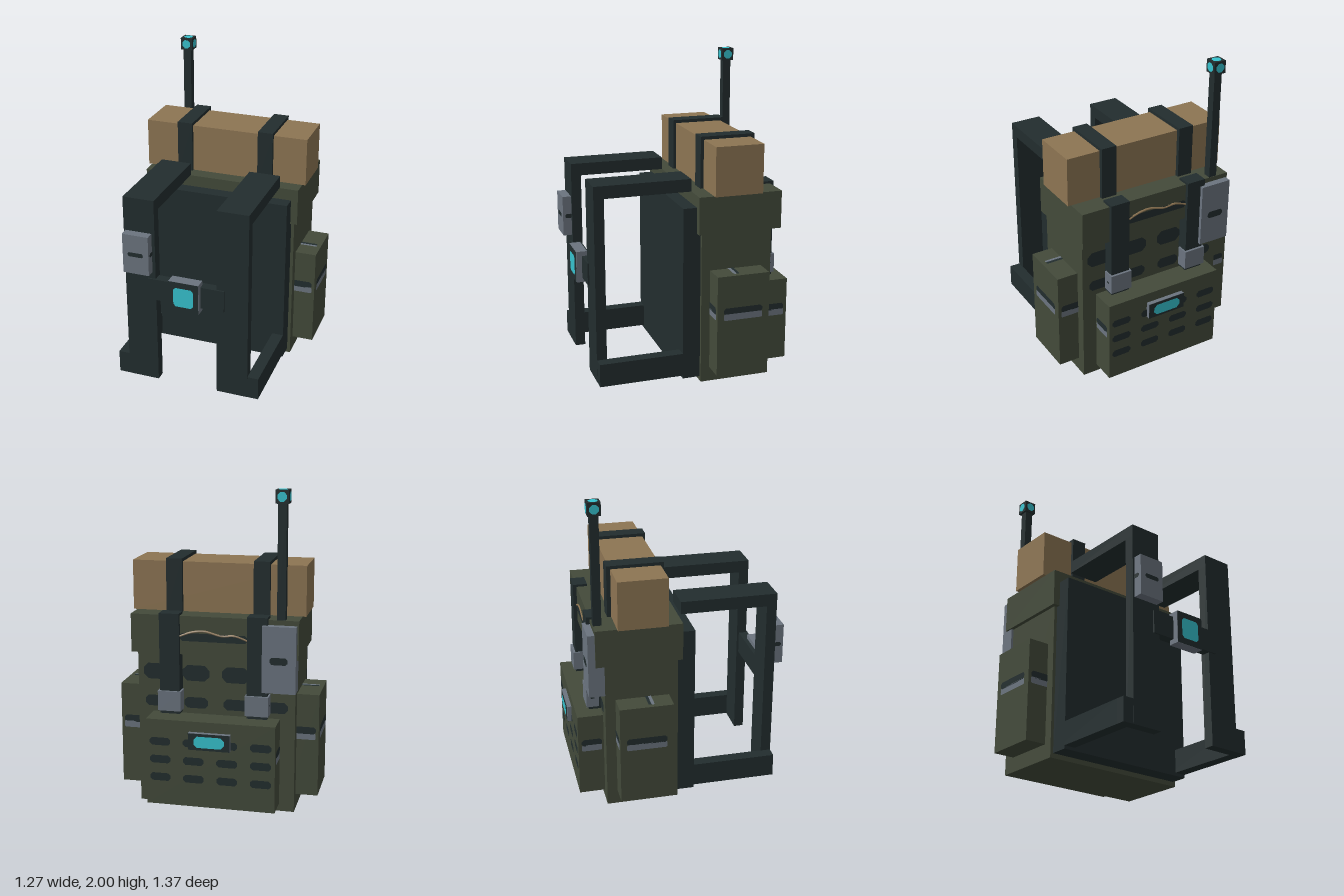
import * as THREE from 'three';

const mat = (name, color) => {
  const m = new THREE.MeshStandardMaterial({ color });
  m.name = name;
  return m;
};

export function createModel() {
  const green = mat('olive canvas', 0x434a3a);
  const dark = mat('dark webbing', 0x222d2e);
  const grey = mat('grey metal', 0x6b747f);
  const tan = mat('tan bedroll', 0x8d7553);
  const cyan = mat('cyan light', 0x36c2ce);

  const model = new THREE.Group();
  model.name = 'fieldBackpack';

  // Box given by its min and max on each axis
  function box(name, material, [x0, x1], [y0, y1], [z0, z1]) {
    const mesh = new THREE.Mesh(new THREE.BoxGeometry(x1 - x0, y1 - y0, z1 - z0), material);
    mesh.position.set((x0 + x1) / 2, (y0 + y1) / 2, (z0 + z1) / 2);
    mesh.name = name;
    model.add(mesh);
    return mesh;
  }

  // Thin plate with cut corners, lying just off a face that looks along dir
  const turns = {
    '+z': [0, 0], '-z': [0, Math.PI], '+x': [0, Math.PI / 2],
    '-x': [0, -Math.PI / 2], '+y': [-Math.PI / 2, 0], '-y': [Math.PI / 2, 0],
  };
  function plate(name, material, dir, w, h, x, y, z, cut = 0.3) {
    const a = w / 2, b = h / 2, c = Math.min(w, h) * cut;
    const shape = new THREE.Shape([
      [-a + c, -b], [a - c, -b], [a, -b + c], [a, b - c],
      [a - c, b], [-a + c, b], [-a, b - c], [-a, -b + c],
    ].map(([u, v]) => new THREE.Vector2(u, v)));
    const mesh = new THREE.Mesh(new THREE.ShapeGeometry(shape), material);
    mesh.rotation.set(...turns[dir], 0);
    mesh.position.set(x, y, z);
    mesh.translateZ(0.003);
    mesh.name = name;
    model.add(mesh);
  }

  // Dark slot over a grey bar
  function clasp(dir, w, x, y, z) {
    plate('claspSlot', dark, dir, w, 0.045, x, y + 0.018, z);
    plate('claspBar', grey, dir, w, 0.042, x, y - 0.02, z, 0.15);
  }

  // Mirrored x range
  const side = (s, a, b) => (s > 0 ? [a, b] : [-b, -a]);

  // Main bag
  box('body', green, [-0.495, 0.495], [0, 1.0], [-0.49, -0.03]);
  box('lid', green, [-0.52, 0.52], [0.99, 1.23], [-0.545, -0.005]);
  box('backPanel', dark, [-0.475, 0.475], [0.03, 1.155], [-0.03, 0.083]);
  for (const x of [-0.375, -0.125, 0.125, 0.375]) {
    plate('bodySlot', dark, '-z', 0.17, 0.1, x, 0.86, -0.49);
    plate('bodySlot', dark, '-z', 0.15, 0.07, x, 0.67, -0.49);
  }

  // Cord on the lid
  plate('cordSlot', dark, '-z', 0.42, 0.05, 0, 1.1, -0.545);
  const cord = new THREE.CatmullRomCurve3(
    [[-0.22, 1.09], [-0.13, 1.12], [-0.05, 1.115], [0.06, 1.14], [0.14, 1.13], [0.22, 1.1]]
      .map(([x, y]) => new THREE.Vector3(x, y, -0.547)));
  const cordMesh = new THREE.Mesh(new THREE.TubeGeometry(cord, 20, 0.007, 5), tan);
  cordMesh.name = 'cord';
  model.add(cordMesh);

  // Bedroll
  box('bedroll', tan, [-0.542, 0.542], [1.23, 1.54], [-0.41, -0.1]);

  for (const s of [-1, 1]) {
    const out = s > 0 ? '+x' : '-x';

    // Bedroll straps
    box('bedrollStrap', dark, side(s, 0.223, 0.323), [1.225, 1.56], [-0.435, -0.08]);

    // Shoulder straps with their lower loops
    box('shoulderStrapTop', dark, side(s, 0.2, 0.403), [1.24, 1.32], [0.008, 0.625]);
    box('shoulderStrapFront', dark, side(s, 0.2, 0.403), [0.05, 1.25], [0.56, 0.625]);
    box('shoulderStrapFoot', dark, side(s, 0.2, 0.475), [0.05, 0.2], [0.56, 0.624]);
    box('shoulderStrapReturn', dark, side(s, 0.4, 0.475), [0.05, 0.2], [0, 0.565]);

    // Side pouches
    box('sidePouch', green, side(s, 0.45, 0.633), [0.095, 0.748], [-0.425, -0.087]);
    clasp(out, 0.255, s * 0.633, 0.5, -0.256);
    clasp('+z', 0.13, s * 0.55, 0.5, -0.087);
    clasp('-z', 0.13, s * 0.55, 0.5, -0.425);
    plate('pouchTopSlot', dark, '+y', 0.13, 0.02, s * 0.542, 0.748, -0.23);
    plate('pouchTopBar', grey, '+y', 0.13, 0.02, s * 0.542, 0.748, -0.212);

    // Lid straps with clips
    box('lidStrap', dark, side(s, 0.21, 0.335), [0.615, 1.245], [-0.568, -0.475]);
    box('lidStrapClip', grey, side(s, 0.2, 0.345), [0.635, 0.76], [-0.583, -0.505]);
    plate('clipSlot', dark, out, 0.025, 0.012, s * 0.345, 0.7, -0.545);

    // Rear pouch clasps
    clasp(out, 0.13, s * 0.402, 0.395, -0.567);
  }

  // Rear pouch with slots and a lit display
  box('rearPouch', green, [-0.402, 0.402], [0.05, 0.6], [-0.653, -0.48]);
  for (const x of [-0.315, -0.105, 0.105, 0.315])
    for (const y of [0.46, 0.345, 0.23])
      plate('rearPouchSlot', dark, '-z', 0.13, 0.05, x, y, -0.653);
  box('display', grey, [-0.13, 0.13], [0.43, 0.535], [-0.68, -0.64]);
  plate('displayFace', dark, '-z', 0.26, 0.105, 0, 0.4825, -0.68, 0);
  plate('displayLight', cyan, '-z', 0.19, 0.072, 0, 0.4825, -0.683);

  // Chest strap and buckle
  box('chestStrap', dark, [-0.25, 0.25], [0.645, 0.79], [0.573, 0.635]);
  box('buckle', grey, [-0.098, 0.098], [0.615, 0.82], [0.6, 0.67]);
  plate('buckleFace', dark, '+z', 0.196, 0.205, 0, 0.7175, 0.67, 0);
  plate('buckleLight', cyan, '+z', 0.13, 0.13, 0, 0.7175, 0.673, 0.12);

  // Radio on the right shoulder strap
  box('strapRadio', grey, [-0.39, -0.22], [0.835, 1.098], [0.6, 0.682]);
  plate('strapRadioSlot', dark, '+z', 0.1, 0.028, -0.305, 0.967, 0.682);
  plate('strapRadioSlot', dark, '+x', 0.045, 0.028, -0.22, 0.967, 0.645);
  plate('strapRadioSlot', dark, '-x', 0.045, 0.028, -0.39, 0.967, 0.645);

  // Rear radio and antenna with a lit tip
  box('rearRadio', grey, [-0.51, -0.305], [0.79, 1.2], [-0.59, -0.49]);
  plate('rearRadioSlot', dark, '-z', 0.11, 0.045, -0.407, 0.99, -0.59);
  box('antenna', dark, [-0.438, -0.386], [1.2, 1.93], [-0.542, -0.49]);
  const tip = [-0.412, 1.96, -0.517], r = 0.04;
  box('antennaTip', dark, ...tip.map((c) => [c - r, c + r]));
  for (const dir of Object.keys(turns)) {
    if (dir === '-y') continue;
    const p = [...tip];
    p['xyz'.indexOf(dir[1])] += dir[0] === '+' ? r : -r;
    if (dir === '+y') p[1] -= 0.002;
    plate('antennaLight', cyan, dir, 0.056, 0.056, ...p);
  }

  return model;
}
